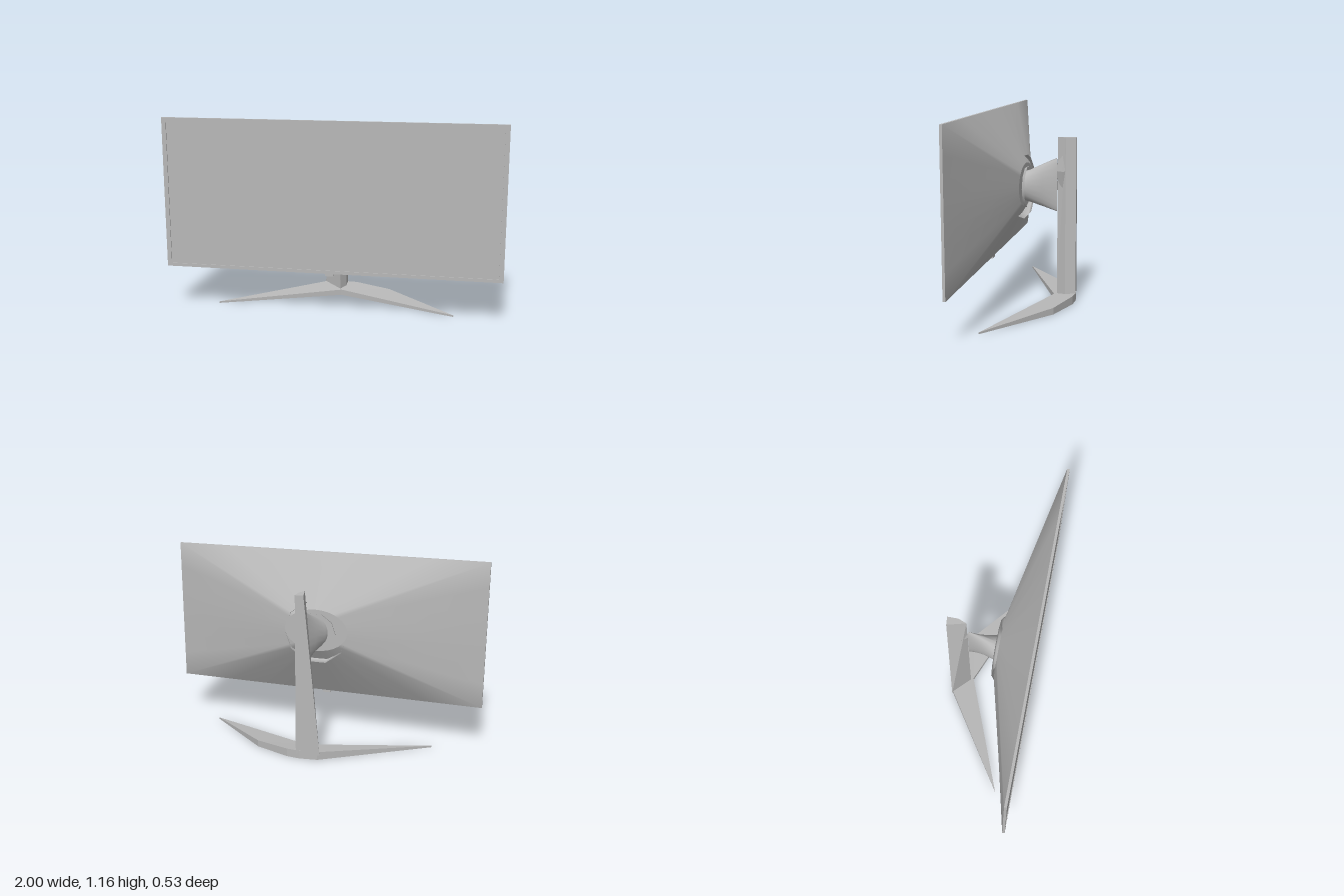
import * as THREE from 'three';

// Skin through rings of [x, y, z] points; rings run anticlockwise seen from the last ring's end.
function loft(rings, smooth = false) {
  const n = rings[0].length;
  const pos = rings.flat(2);
  const idx = [];
  for (let i = 0; i < rings.length - 1; i++) {
    for (let j = 0; j < n; j++) {
      const a = i * n + j, b = i * n + (j + 1) % n;
      idx.push(a, b, b + n, a, b + n, a + n);
    }
  }
  // Caps use their own vertices so their edges stay sharp
  const first = pos.length / 3, last = first + n;
  pos.push(...rings[0].flat(), ...rings[rings.length - 1].flat());
  for (let j = 1; j < n - 1; j++) {
    idx.push(first, first + j + 1, first + j, last, last + j, last + j + 1);
  }
  let g = new THREE.BufferGeometry();
  g.setAttribute('position', new THREE.Float32BufferAttribute(pos, 3));
  g.setIndex(idx);
  if (!smooth) g = g.toNonIndexed();
  g.computeVertexNormals();
  return g;
}

// Ring around the z axis, anticlockwise seen from behind; square = true gives a rectangle
function zRing(n, rx, ry, cy, z, square = false) {
  return Array.from({ length: n }, (_, i) => {
    const t = (i / n) * Math.PI * 2, c = Math.cos(t), s = Math.sin(t);
    const m = square ? Math.max(Math.abs(c), Math.abs(s)) : 1;
    return [-c / m * rx, cy + s / m * ry, z];
  });
}

export function createModel() {
  const group = new THREE.Group();
  const grey = new THREE.MeshStandardMaterial({ color: 0xb8b8b8 });
  grey.name = 'grey';

  const add = (name, geometry, x = 0, y = 0, z = 0) => {
    const mesh = new THREE.Mesh(geometry, grey);
    mesh.name = name;
    mesh.position.set(x, y, z);
    group.add(mesh);
    return mesh;
  };

  // Bezel frame with the slightly sunken screen inside
  const rect = (P, w, h) => {
    const p = new P();
    p.moveTo(-w, -h);
    p.lineTo(w, -h);
    p.lineTo(w, h);
    p.lineTo(-w, h);
    p.closePath();
    return p;
  };
  const frame = rect(THREE.Shape, 1, 0.45);
  frame.holes.push(rect(THREE.Path, 0.974, 0.431));
  add('bezel', new THREE.ExtrudeGeometry(frame, { depth: 0.015, bevelEnabled: false }), 0, 0.71, 0.25);
  add('screen', new THREE.BoxGeometry(1.95, 0.864, 0.012), 0, 0.71, 0.254);
  add('powerButton', new THREE.BoxGeometry(0.05, 0.02, 0.012), -0.005, 0.255, 0.257);

  // Back shell: wide rectangle drawn in to a small rounded mount
  add('backShell', loft([
    zRing(32, 1, 0.45, 0.71, 0.25, true),
    zRing(32, 0.2, 0.13, 0.715, 0.045),
  ], true));

  // Faceted collar around the mount
  const profile = [[0.11, 0.1], [0.13, 0.03], [0.175, 0.025], [0.2, 0.045], [0.19, 0.08], [0.15, 0.11]];
  const collarRings = profile.map(([r, z]) => zRing(10, r, r * 0.98, 0.7, z));
  add('mountCollar', loft(collarRings, true));

  // Arm: broad and round at the mount, a tall thin blade at the column
  add('arm', loft([
    zRing(20, 0.078, 0.09, 0.705, 0.05),
    zRing(20, 0.072, 0.098, 0.706, 0.02),
    zRing(20, 0.038, 0.13, 0.712, -0.06),
    zRing(20, 0.008, 0.163, 0.717, -0.145),
  ], true));

  // Pivot wedge where the arm meets the column
  const pivot = add('pivot', new THREE.OctahedronGeometry(1), 0, 0.8, -0.18);
  pivot.scale.set(0.03, 0.15, 0.047);

  // Column: thin blade at the top, flaring to one side at the foot
  add('column', loft([
    [[0.02, 0.03, -0.2], [0.02, 0.03, -0.265], [-0.125, 0.03, -0.25], [-0.01, 0.03, -0.145]],
    [[0.02, 1.005, -0.2], [0.02, 1.005, -0.265], [-0.03, 1.005, -0.26], [0.0, 1.005, -0.15]],
  ]));

  // Base: two swept legs joined at the back, each thinning to its tip
  const leg = (name, points) => add(name, loft([
    points.map(([x, z]) => [x, 0, z]),
    points.map(([x, z, h]) => [x, h, z]),
  ]));
  leg('leftLeg', [[0, -0.13, 0.035], [0.72, 0.155, 0.01], [0.3, -0.18, 0.04], [0.08, -0.258, 0.05], [0, -0.265, 0.05]]);
  leg('rightLeg', [[0, -0.13, 0.035], [0, -0.265, 0.05], [-0.11, -0.25, 0.05], [-0.72, 0.155, 0.01]]);

  return group;
}
